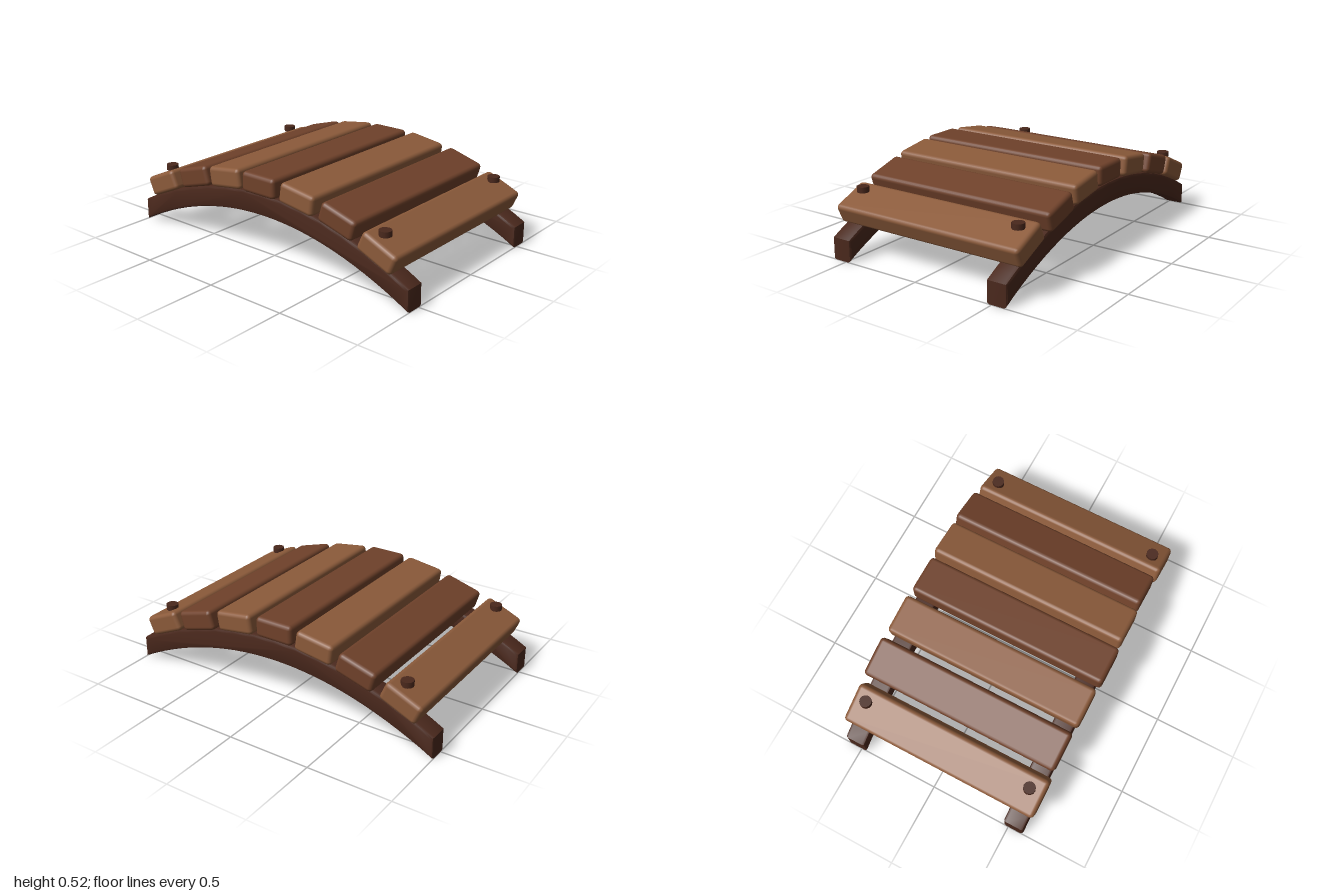
import * as THREE from 'three';
import { RoundedBoxGeometry } from 'three/addons/geometries/RoundedBoxGeometry.js';
import { toCreasedNormals } from 'three/addons/utils/BufferGeometryUtils.js';

const RISE = 0.27, THICK = 0.13;
const arch = (z) => RISE * (1 - z * z); // underside height of the rails

const wood = (color) => new THREE.MeshStandardMaterial({ color });

// Arched beam with vertical ends and softened edges
function railGeometry(width, bevel) {
  const n = 28, shape = new THREE.Shape();
  shape.moveTo(-1, 0);
  for (let i = 1; i <= n; i++) {
    const z = -1 + (2 * i) / n;
    shape.lineTo(z, arch(z));
  }
  for (let i = n; i >= 0; i--) {
    const z = -1 + (2 * i) / n;
    shape.lineTo(z, arch(z) + THICK);
  }
  const depth = width - 2 * bevel;
  const geo = new THREE.ExtrudeGeometry(shape, {
    depth, bevelEnabled: true, bevelSize: bevel, bevelThickness: bevel,
    bevelOffset: -bevel, bevelSegments: 2,
  });
  geo.translate(0, 0, -depth / 2);
  geo.rotateY(-Math.PI / 2);
  return toCreasedNormals(geo, 0.5);
}

export function createModel() {
  const group = new THREE.Group();
  group.name = 'archedFootbridge';
  const dark = wood(0x4a281c), light = wood(0x8b5a3a), mid = wood(0x6f412a);

  const add = (name, geo, mat, x, y, z) => {
    const mesh = new THREE.Mesh(geo, mat);
    mesh.name = name;
    mesh.position.set(x, y, z);
    group.add(mesh);
    return mesh;
  };

  // Side rails
  const rail = railGeometry(0.125, 0.016);
  add('leftRail', rail, dark, 0.528, 0, 0);
  add('rightRail', rail, dark, -0.532, 0, 0);

  // Deck planks, tilted to follow the arch and slightly uneven sideways
  const plank = new RoundedBoxGeometry(1.235, 0.12, 0.24, 2, 0.024);
  const shift = [-0.012, -0.003, 0.007, -0.003];
  for (let i = -3; i <= 3; i++) {
    const z = i * 0.27;
    const mesh = add('plank' + (i + 4), plank, i % 2 ? light : mid,
      shift[Math.abs(i)], arch(z) + THICK + 0.06, z);
    mesh.rotation.x = Math.atan(2 * RISE * z);
  }

  // Upright pegs on the end planks
  const peg = new THREE.CylinderGeometry(0.036, 0.036, 0.033, 12);
  for (const x of [0.528, -0.532])
    for (const z of [0.805, -0.805])
      add('peg', peg, dark, x, 0.37, z);

  // Plank colours alternate: the centre and every second plank are darker
  return group;
}
